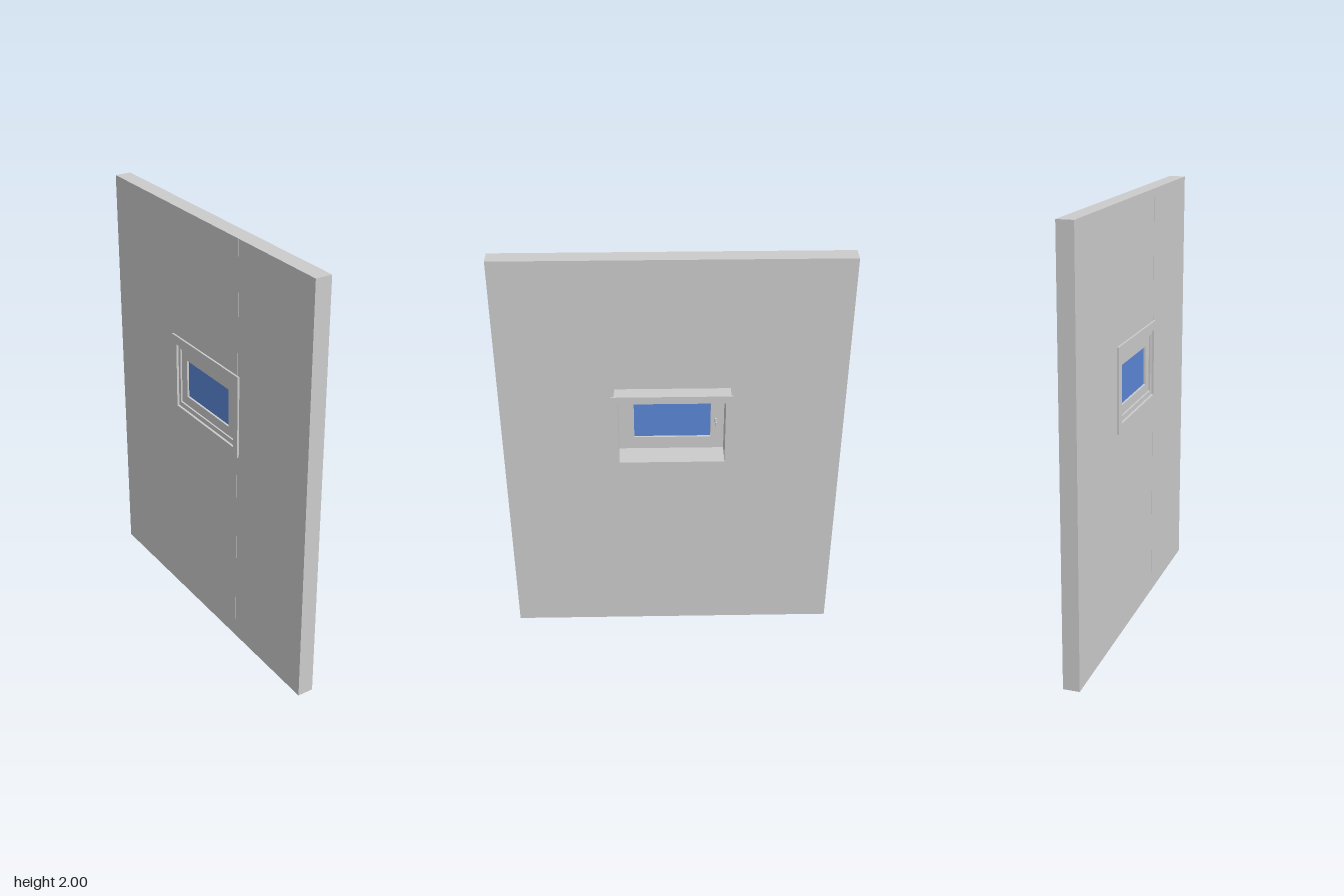
import * as THREE from 'three';

const grey = new THREE.MeshStandardMaterial({ color: 0xcccccc });
const blue = new THREE.MeshStandardMaterial({ color: 0x5b86d6 });

// Rectangles in the wall plane: [zMin, zMax, yMin, yMax]
const WALL = [-0.775, 0.77, 0, 2];
const FLANGE_OUT = [-0.267, 0.269, 1.002, 1.383];
const FLANGE_BACK = [-0.275, 0.271, 0.994, 1.388];
const DUCT = [-0.26, 0.256, 1.012, 1.373];
const OPENING = [-0.236, 0.24, 1.033, 1.347];
const SASH = [-0.22, 0.221, 1.056, 1.327];
const GLASS = [-0.175, 0.171, 1.1, 1.284];

function outline(PathType, [z0, z1, y0, y1]) {
  const path = new PathType();
  path.moveTo(-z1, y0);
  path.lineTo(-z0, y0);
  path.lineTo(-z0, y1);
  path.lineTo(-z1, y1);
  path.closePath();
  return path;
}

// Rectangular ring lying in the wall plane, from x0 to x1
function ring(name, outer, inner, x0, x1) {
  const shape = outline(THREE.Shape, outer);
  shape.holes.push(outline(THREE.Path, inner));
  const geo = new THREE.ExtrudeGeometry(shape, { depth: x1 - x0, bevelEnabled: false });
  geo.rotateY(Math.PI / 2).translate(x0, 0, 0);
  const mesh = new THREE.Mesh(geo, grey);
  mesh.name = name;
  return mesh;
}

function block(name, [z0, z1, y0, y1], x0, x1, material = grey) {
  const mesh = new THREE.Mesh(new THREE.BoxGeometry(x1 - x0, y1 - y0, z1 - z0), material);
  mesh.position.set((x0 + x1) / 2, (y0 + y1) / 2, (z0 + z1) / 2);
  mesh.name = name;
  return mesh;
}

export function createModel() {
  const model = new THREE.Group();
  model.name = 'wallWithWindow';

  // Wall slab with its opening, and the panel seam on the back
  model.add(ring('wall', WALL, DUCT, -0.076, 0));
  model.add(block('seamUpper', [0.255, 0.258, FLANGE_BACK[3], 2], -0.077, -0.075));
  model.add(block('seamLower', [0.255, 0.258, 0, FLANGE_BACK[2]], -0.077, -0.075));

  // Deep lining that stands out of the wall, with a thin flange at each end
  model.add(ring('lining', DUCT, OPENING, -0.076, 0.077));
  model.add(ring('frontFlange', FLANGE_OUT, OPENING, 0.077, 0.083));
  model.add(ring('backFlange', FLANGE_BACK, OPENING, -0.085, -0.076));

  // Window: fixed frame, sash and pane
  const windowUnit = new THREE.Group();
  windowUnit.name = 'window';
  windowUnit.add(ring('fixedFrame', OPENING, SASH, -0.074, -0.028));
  windowUnit.add(ring('sash', SASH, GLASS, -0.066, -0.02));
  windowUnit.add(block('pane', GLASS, -0.056, -0.03, blue));
  model.add(windowUnit);

  // Lever handle on the sash
  const handle = new THREE.Group();
  handle.name = 'handle';
  handle.add(block('handleBase', [-0.204, -0.194, 1.165, 1.2], -0.02, -0.015));
  handle.add(block('handleNeck', [-0.202, -0.196, 1.186, 1.194], -0.015, 0.006));
  handle.add(block('handleLever', [-0.203, -0.195, 1.12, 1.196], 0.006, 0.012));
  model.add(handle);

  return model;
}
